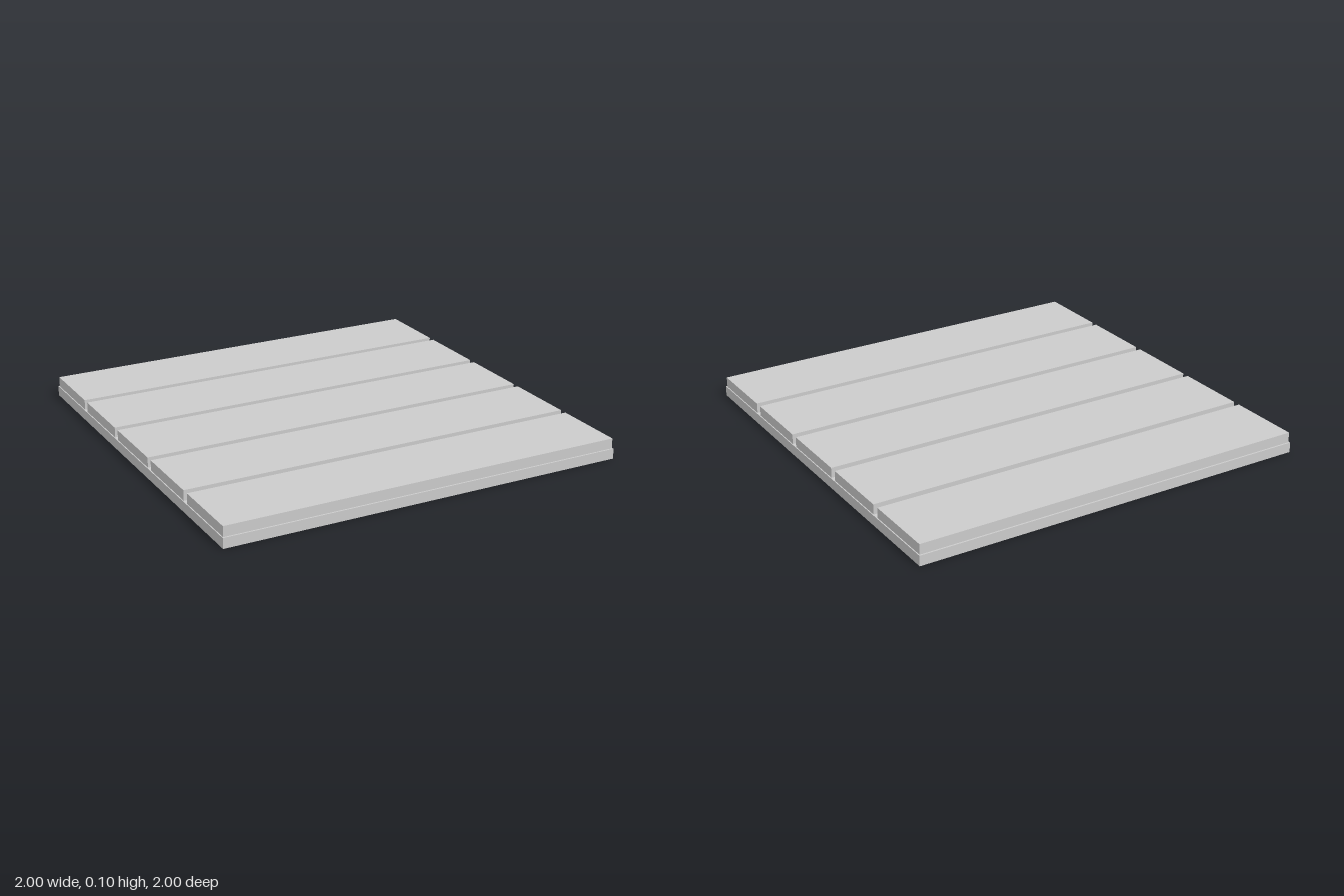
import * as THREE from 'three';

export function createModel() {
  const group = new THREE.Group();
  const material = new THREE.MeshStandardMaterial({ color: 0xcccccc, flatShading: true });

  const addSlab = (name, width, height, depth, y, z) => {
    const mesh = new THREE.Mesh(new THREE.BoxGeometry(width, height, depth), material);
    mesh.name = name;
    mesh.position.set(0, y + height / 2, z);
    group.add(mesh);
  };

  // square base slab
  addSlab('base', 2, 0.05, 2, 0, 0);

  // five planks laid side by side with narrow gaps, slightly inset from the base edge
  const pitch = 0.404;
  for (let i = -2; i <= 2; i++) {
    addSlab(`plank${i + 3}`, 1.99, 0.05, 0.368, 0.05, i * pitch);
  }

  return group;
}
